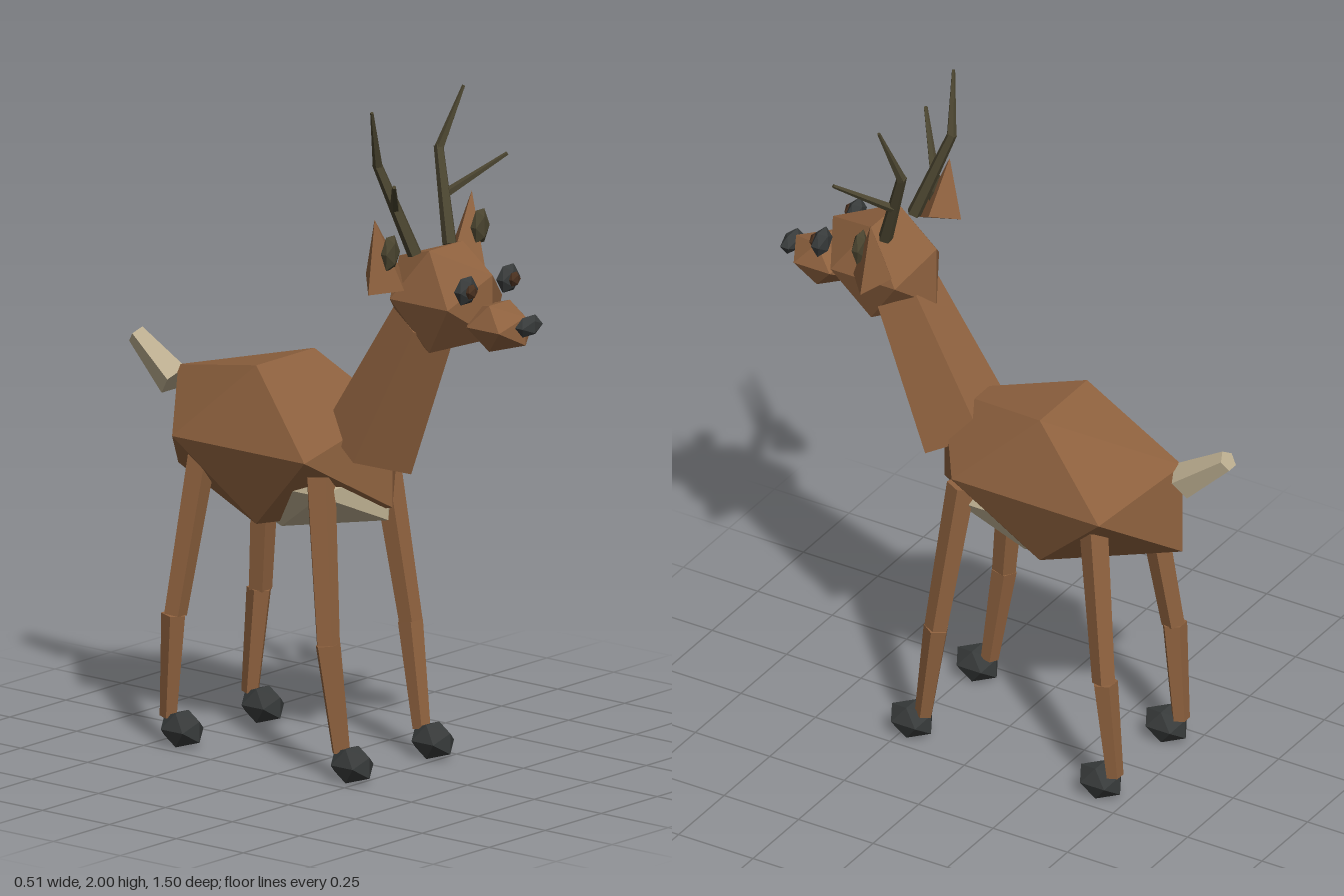
import * as THREE from 'three';
import { ConvexGeometry } from 'three/addons/geometries/ConvexGeometry.js';

const paint = (name, color) => {
  const m = new THREE.MeshStandardMaterial({ color });
  m.name = name;
  return m;
};

export function createModel() {
  const coat = paint('brown coat', 0x8f623f);
  const cream = paint('cream fur', 0xbcae90);
  const dark = paint('charcoal', 0x383b3b);
  const horn = paint('antler olive', 0x4b4530);
  const iris = paint('dark brown', 0x49301f);

  const model = new THREE.Group();
  model.name = 'deer';

  const add = (name, geometry, material) => {
    const mesh = new THREE.Mesh(geometry, material);
    mesh.name = name;
    model.add(mesh);
    return mesh;
  };

  // Faceted blob: a stretched icosahedron
  const blob = (name, material, pos, scale) => {
    const g = new THREE.IcosahedronGeometry(1, 0);
    g.scale(...scale);
    return add(name, g.translate(...pos), material);
  };

  // Tapered five-sided limb between two points, with flat faces
  const limb = (name, material, from, to, r0, r1) => {
    const a = new THREE.Vector3(...from);
    const d = new THREE.Vector3(...to).sub(a);
    const length = d.length();
    const g = new THREE.CylinderGeometry(r1, r0, length, 5).toNonIndexed();
    g.computeVertexNormals();
    g.translate(0, length / 2, 0);
    const mesh = add(name, g, material);
    mesh.quaternion.setFromUnitVectors(new THREE.Vector3(0, 1, 0), d.normalize());
    mesh.position.copy(a);
    return mesh;
  };

  // Trunk, belly, neck and tail
  blob('body', coat, [0, 0.92, -0.18], [0.247, 0.276, 0.47]);
  blob('belly', cream, [0, 0.816, -0.11], [0.19, 0.154, 0.37]);
  limb('neck', coat, [0, 0.953, 0.153], [0, 1.355, 0.353], 0.153, 0.105);
  limb('tail', cream, [0, 1.017, -0.587], [0, 1.13, -0.733], 0.056, 0.031);

  // Head
  blob('head', coat, [0, 1.432, 0.42], [0.143, 0.178, 0.205]);
  blob('snout', coat, [0, 1.38, 0.62], [0.088, 0.08, 0.115]);
  blob('nose', dark, [0, 1.398, 0.73], [0.054, 0.034, 0.026]);

  for (const s of [1, -1]) {
    const side = s > 0 ? 'left' : 'right';
    const m = ([x, y, z]) => [s * x, y, z];

    // Eyes
    blob(side + 'Eye', dark, m([0.094, 1.495, 0.574]), [0.046, 0.046, 0.024]);
    blob(side + 'Pupil', iris, m([0.096, 1.495, 0.595]), [0.022, 0.024, 0.016]);

    // Ears: leaning four-sided pyramids with an oval inner patch
    const corners = [
      [0.217, 1.69, 0.335],
      [0.257, 1.475, 0.345], [0.125, 1.535, 0.35],
      [0.18, 1.485, 0.415], [0.19, 1.515, 0.28],
    ].map((p) => new THREE.Vector3(...m(p)));
    add(side + 'Ear', new ConvexGeometry(corners), coat);
    blob(side + 'InnerEar', horn, m([0.2, 1.595, 0.38]), [0.036, 0.058, 0.02]);

    // Antlers
    limb(side + 'AntlerBase', horn, m([0.078, 1.565, 0.37]), m([0.138, 1.83, 0.278]), 0.022, 0.015);
    limb(side + 'AntlerTip', horn, m([0.136, 1.82, 0.28]), m([0.205, 2.0, 0.315]), 0.015, 0.005);
    limb(side + 'AntlerTine', horn, m([0.115, 1.70, 0.325]), m([0.253, 1.81, 0.438]), 0.014, 0.006);

    // Legs: hip, knee, ankle and hoof
    const legs = {
      Front: [[0.145, 0.87, 0.07], [0.185, 0.39, 0.132], [0.18, 0.08, 0.178], [0.18, 0.05, 0.22]],
      Hind: [[0.145, 0.86, -0.375], [0.19, 0.39, -0.435], [0.182, 0.08, -0.462], [0.18, 0.05, -0.415]],
    };
    for (const [end, [hip, knee, ankle, hoof]] of Object.entries(legs)) {
      limb(side + end + 'UpperLeg', coat, m(hip), m(knee), 0.045, 0.036);
      limb(side + end + 'LowerLeg', coat, m(knee), m(ankle), 0.038, 0.027);
      blob(side + end + 'Hoof', dark, m(hoof), [0.055, 0.0587, 0.077]);
    }
  }
  return model;
}
